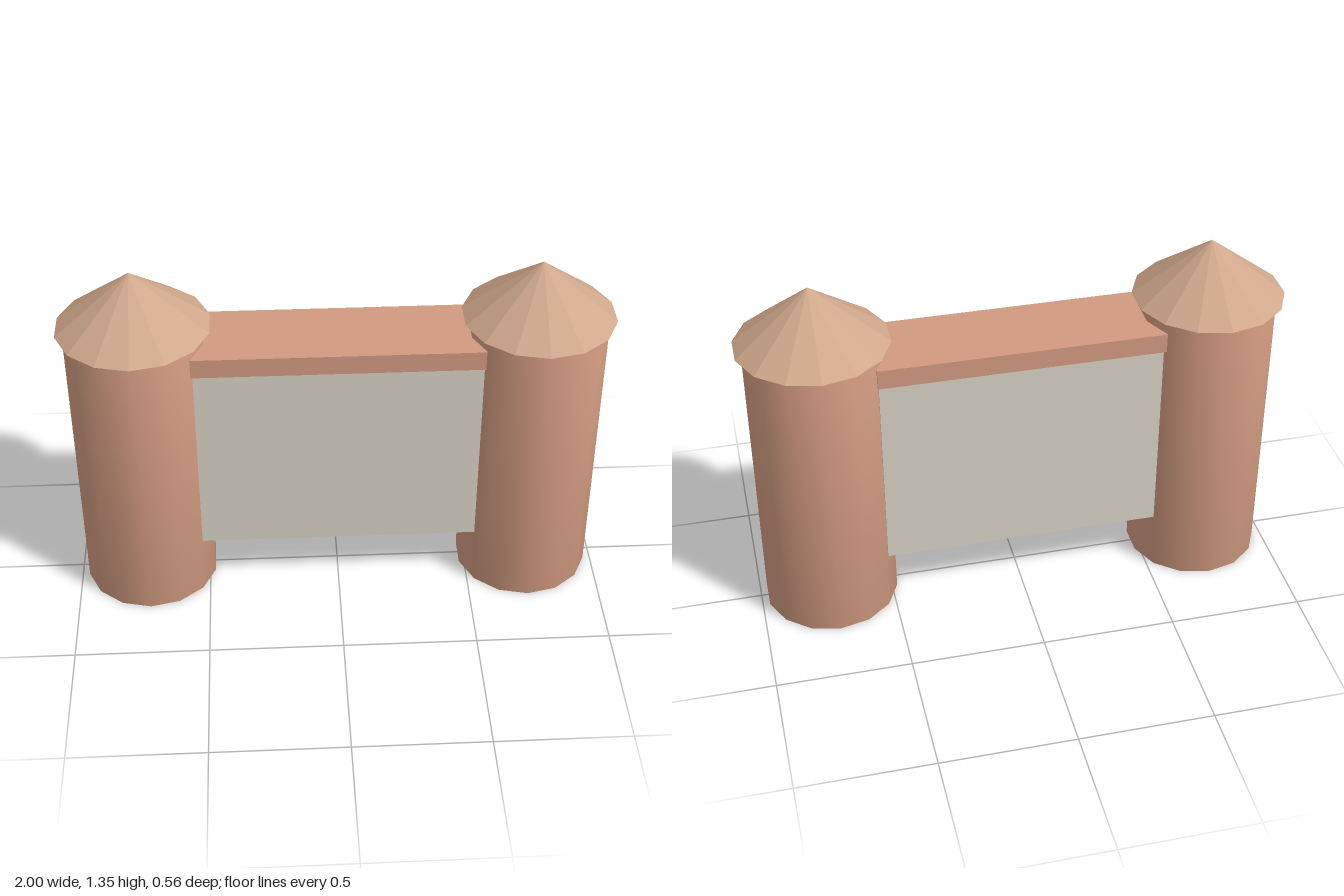
import * as THREE from 'three';
import { mergeVertices } from 'three/addons/utils/BufferGeometryUtils.js';

const SIDES = 14;
const clay = new THREE.MeshStandardMaterial({ color: 0xd19a80 });
const tile = new THREE.MeshStandardMaterial({ color: 0xd0a88c, flatShading: true });
const plaster = new THREE.MeshStandardMaterial({ color: 0xd6d1c4 });

// Weld the caps to the sides so the shading runs smoothly over the rims
function smooth(geometry) {
  geometry.deleteAttribute('normal');
  geometry.deleteAttribute('uv');
  const welded = mergeVertices(geometry);
  welded.computeVertexNormals();
  return welded;
}

function addPart(parent, name, geometry, material, x, y, z) {
  const mesh = new THREE.Mesh(geometry, material);
  mesh.name = name;
  mesh.position.set(x, y, z);
  parent.add(mesh);
  return mesh;
}

export function createModel() {
  const gate = new THREE.Group();
  gate.name = 'gate';

  // Round towers with overhanging conical roofs
  const shaft = smooth(new THREE.CylinderGeometry(0.253, 0.253, 1.13, SIDES));
  const roof = new THREE.ConeGeometry(0.28, 0.22, SIDES);
  for (const side of [-1, 1]) {
    const tower = new THREE.Group();
    tower.name = side > 0 ? 'leftTower' : 'rightTower';
    tower.position.x = side * 0.727;
    addPart(tower, 'towerShaft', shaft, clay, 0, 0.565, 0);
    addPart(tower, 'towerRoof', roof, tile, 0, 1.24, 0);
    gate.add(tower);
  }

  // Raised panel between the towers, capped by a slightly wider beam
  addPart(gate, 'wallPanel', new THREE.BoxGeometry(1.04, 0.77, 0.294), plaster, 0, 0.615, -0.002);
  addPart(gate, 'topBeam', new THREE.BoxGeometry(1.052, 0.075, 0.31), clay, -0.002, 1.0375, -0.003);

  return gate;
}
